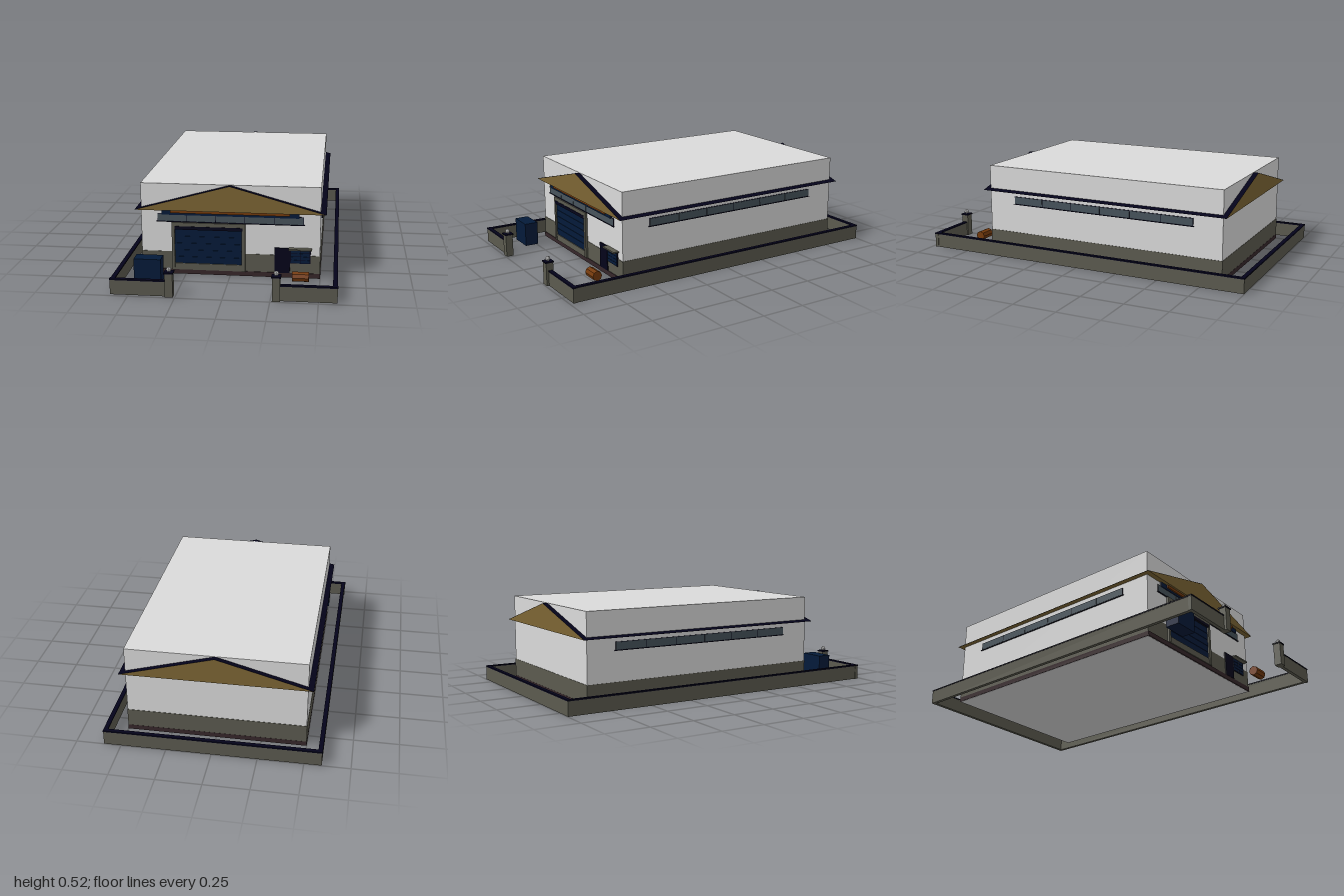
import * as THREE from 'three';

const mat = (name, color) => {
  const m = new THREE.MeshStandardMaterial({ color });
  m.name = name;
  return m;
};

// gives every face its own normal
const faceted = (geometry) => {
  const g = geometry.index ? geometry.toNonIndexed() : geometry;
  g.computeVertexNormals();
  return g;
};

export function createModel() {
  const M = {
    wall: mat('pale wall', 0xdadada),
    stone: mat('olive stone', 0x5b5a4f),
    trim: mat('dark navy trim', 0x04031a),
    blue: mat('blue paint', 0x041a39),
    glass: mat('grey glass', 0x47535b),
    tan: mat('tan gable', 0x7c6534),
    orange: mat('rust orange', 0x753a0b),
    plinth: mat('maroon plinth', 0x36272a),
  };
  const root = new THREE.Group();
  root.name = 'warehouse';

  const group = (name) => {
    const g = new THREE.Group();
    g.name = name;
    root.add(g);
    return g;
  };
  const add = (parent, name, geometry, material) => {
    const m = new THREE.Mesh(geometry, material);
    m.name = name;
    parent.add(m);
    return m;
  };
  // box given by its limits on each axis
  const box = (parent, name, material, x0, x1, y0, y1, z0, z1) => {
    const m = add(parent, name, new THREE.BoxGeometry(x1 - x0, y1 - y0, z1 - z0), material);
    m.position.set((x0 + x1) / 2, (y0 + y1) / 2, (z0 + z1) / 2);
    return m;
  };

  // main hall
  const W = 0.497, ZB = -0.84, ZF = 0.63;
  const hall = group('hall');
  box(hall, 'hallBody', M.wall, -W, W, 0, 0.521, ZB, ZF);
  box(hall, 'plinth', M.plinth, -W - 0.003, W + 0.003, 0.001, 0.028, ZB - 0.003, ZF + 0.006);
  box(hall, 'baseBand', M.stone, -W - 0.002, W + 0.002, 0.028, 0.13, ZB - 0.002, ZF + 0.002);

  // roof: tan prism under a thin dark covering
  const roof = group('roof');
  const extrudeRoof = (name, points, material) => {
    const shape = new THREE.Shape(points.map(([x, y]) => new THREE.Vector2(x, y)));
    const geometry = new THREE.ExtrudeGeometry(shape, { depth: 1.527, bevelEnabled: false });
    add(roof, name, geometry, material).position.z = -0.868;
  };
  extrudeRoof('gable', [[-0.527, 0.374], [0.527, 0.374], [0, 0.5195]], M.tan);
  extrudeRoof('roofCovering', [
    [-0.527, 0.3741], [0, 0.5196], [0.527, 0.3741], [0.528, 0.3748], [0, 0.5206], [-0.528, 0.3748],
  ], M.trim);

  // strip window lying in the xy plane, centred on its own origin
  const stripWindow = (name, length, panes) => {
    const g = group(name);
    const h = 0.045, step = length / panes;
    box(g, 'windowFrame', M.trim, -length / 2, length / 2, -h / 2, h / 2, 0, 0.004);
    box(g, 'windowSill', M.trim, -length / 2 - 0.006, length / 2 + 0.006, -h / 2 - 0.003, -h / 2, 0, 0.008);
    for (let i = 0; i < panes; i++) {
      const x = -length / 2 + i * step;
      box(g, 'pane', M.glass, x + 0.002, x + step - 0.002, -h / 2 + 0.002, h / 2 - 0.002, 0.003, 0.006);
    }
    return g;
  };
  stripWindow('frontWindow', 0.81, 5).position.set(0, 0.329, ZF);
  for (const s of [-1, 1]) {
    const w = stripWindow(s > 0 ? 'leftWindow' : 'rightWindow', 1.13, 6);
    w.position.set(s * W, 0.326, -0.105);
    w.rotation.y = s * Math.PI / 2;
  }

  // panel and beam under the front gable
  box(root, 'fasciaPanel', M.blue, -0.381, 0.381, 0.345, 0.3739, ZF, 0.64);
  box(root, 'fasciaBeam', M.orange, -0.33, 0.33, 0.358, 0.3738, ZF, 0.648);

  // roller door
  const door = group('rollerDoor');
  box(door, 'leftJamb', M.stone, 0.065, 0.085, 0.028, 0.303, ZF, 0.645);
  box(door, 'rightJamb', M.stone, -0.325, -0.309, 0.028, 0.303, ZF, 0.645);
  box(door, 'lintel', M.stone, -0.309, 0.065, 0.282, 0.303, ZF, 0.645);
  box(door, 'threshold', M.stone, -0.309, 0.065, 0.028, 0.065, ZF, 0.641);
  box(door, 'rollerHousing', M.trim, -0.309, 0.07, 0.263, 0.282, ZF, 0.647);
  box(door, 'doorBacking', M.blue, -0.309, 0.065, 0.065, 0.263, ZF, 0.634);
  for (let i = 0; i < 5; i++) {
    const y = 0.065 + i * 0.0396;
    box(door, 'doorSlat', M.blue, -0.308, 0.064, y + 0.001, y + 0.0386, 0.632, 0.637);
  }

  // side door and barred window
  const entry = group('entrance');
  box(entry, 'entranceDoor', M.trim, 0.247, 0.332, 0.028, 0.172, ZF, 0.638);
  box(entry, 'officeWindowFrame', M.trim, 0.332, 0.446, 0.085, 0.167, ZF, 0.636);
  for (let i = 0; i < 2; i++) {
    for (let j = 0; j < 4; j++) {
      const x = 0.337 + i * 0.053, y = 0.088 + j * 0.0195;
      box(entry, 'officePane', M.blue, x, x + 0.05, y, y + 0.017, 0.634, 0.638);
    }
  }
  box(entry, 'windowHood', M.stone, 0.325, 0.453, 0.167, 0.175, ZF, 0.662);

  // boundary wall with dark coping
  const fence = group('boundaryWall');
  const run = (name, x0, x1, z0, z1) => {
    box(fence, name, M.stone, x0, x1, 0, 0.08, z0, z1);
    box(fence, name + 'Coping', M.trim, x0 - 0.002, x1 + 0.002, 0.08, 0.087, z0 - 0.002, z1 + 0.002);
  };
  run('backWall', -0.595, 0.595, -0.998, -0.978);
  for (const s of [-1, 1]) {
    const side = s > 0 ? 'left' : 'right';
    run(side + 'Wall', s * 0.585 - 0.01, s * 0.585 + 0.01, -0.978, 0.96);
    run(side + 'FrontWall', s * 0.4475 - 0.151, s * 0.4475 + 0.151, 0.96, 0.98);

    // gate post with ball finial
    const post = group(side + 'GatePost');
    post.position.set(s * 0.281, 0, 0.973);
    box(post, 'postShaft', M.stone, -0.021, 0.021, 0, 0.13, -0.021, 0.021);
    box(post, 'postCap', M.trim, -0.025, 0.025, 0.13, 0.137, -0.025, 0.025);
    add(post, 'finial', faceted(new THREE.IcosahedronGeometry(0.015, 0)), M.wall).position.y = 0.15;
  }

  // yard objects
  box(root, 'wasteContainer', M.blue, -0.502, -0.354, 0.01, 0.148, 0.75, 0.83);
  const barrel = add(root, 'barrel', faceted(new THREE.CylinderGeometry(0.028, 0.028, 0.09, 8)), M.orange);
  barrel.rotation.z = Math.PI / 2;
  barrel.position.set(0.397, 0.055, 0.758);

  return root;
}
